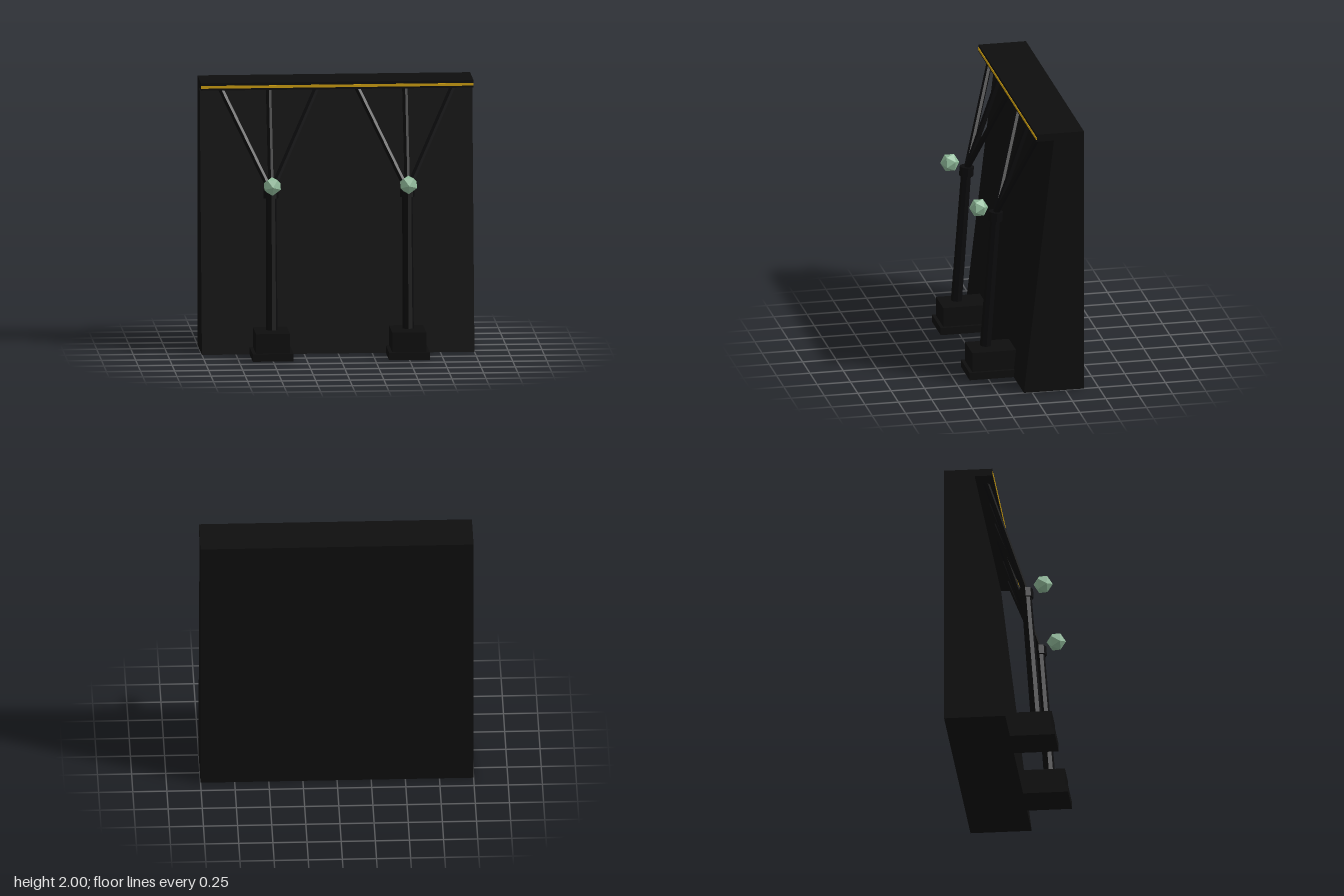
import * as THREE from 'three';

export function createModel() {
  const model = new THREE.Group();
  model.name = 'buttressedWall';

  const material = (name, color) => {
    const m = new THREE.MeshStandardMaterial({ color, flatShading: true });
    m.name = name;
    return m;
  };
  const wallBlack = material('wall black', 0x0e0e0e);
  const metalBlack = material('metal black', 0x0b0b0c);
  const stripeYellow = material('stripe yellow', 0xd0a010);
  const lampGreen = material('lamp green', 0x90ba9a);

  const add = (parent, name, geometry, mat) => {
    const mesh = new THREE.Mesh(geometry, mat);
    mesh.name = name;
    parent.add(mesh);
    return mesh;
  };
  // Box given by its lower and upper corners
  const box = (parent, name, a, b, mat) => {
    const mesh = add(parent, name, new THREE.BoxGeometry(b[0] - a[0], b[1] - a[1], b[2] - a[2]), mat);
    mesh.position.set((a[0] + b[0]) / 2, (a[1] + b[1]) / 2, (a[2] + b[2]) / 2);
    return mesh;
  };
  // Straight bar between two points
  const bar = (parent, name, from, to, rBottom, rTop, sides, mat) => {
    const a = new THREE.Vector3(...from), b = new THREE.Vector3(...to);
    const dir = b.clone().sub(a);
    const mesh = add(parent, name, new THREE.CylinderGeometry(rTop, rBottom, dir.length(), sides), mat);
    mesh.position.copy(a).add(b).multiplyScalar(0.5);
    mesh.quaternion.setFromUnitVectors(new THREE.Vector3(0, 1, 0), dir.normalize());
    return mesh;
  };

  // Wall with a battered front, extruded along x
  const profile = new THREE.Shape([
    new THREE.Vector2(0.39, 0), new THREE.Vector2(0.39, 1.945),
    new THREE.Vector2(0.165, 1.945), new THREE.Vector2(-0.06, 0),
  ]);
  const wallGeometry = new THREE.ExtrudeGeometry(profile, { depth: 2, bevelEnabled: false });
  wallGeometry.rotateY(Math.PI / 2).translate(-1, 0, 0);
  add(model, 'wall', wallGeometry, wallBlack);

  // Overhanging cap and its edge stripe
  box(model, 'cap', [-1, 1.945, -0.39], [1, 2, -0.035], wallBlack);
  box(model, 'edgeStripe', [-1, 1.96, -0.037], [1, 1.98, -0.031], stripeYellow);

  // Two branching supports, each on a stepped footing
  for (const [side, x] of [['left', 0.5], ['right', -0.5]]) {
    const support = new THREE.Group();
    support.name = side + 'Support';
    support.position.x = x;
    model.add(support);

    box(support, 'footingBase', [-0.15, 0, 0], [0.15, 0.055, 0.39], wallBlack);
    box(support, 'footingBlock', [-0.125, 0.055, 0], [0.125, 0.2, 0.365], wallBlack);
    bar(support, 'column', [0, 0.21, 0.24], [0, 1.2, 0.167], 0.042, 0.038, 8, metalBlack);
    bar(support, 'collar', [0, 1.175, 0.167], [0, 1.245, 0.162], 0.054, 0.054, 8, metalBlack);
    for (const [name, dx] of [['leftBranch', 0.355], ['middleBranch', 0], ['rightBranch', -0.355]]) {
      bar(support, name, [0, 1.22, 0.165], [dx, 1.955, -0.095], 0.022, 0.022, 6, metalBlack);
    }

    // Faceted lamp, one vertex facing forward
    const lamp = add(support, 'lamp', new THREE.IcosahedronGeometry(0.071, 0), lampGreen);
    lamp.position.set(0, 1.283, 0.29);
    lamp.rotation.x = Math.atan(2 / (1 + Math.sqrt(5)));
  }
  return model;
}
